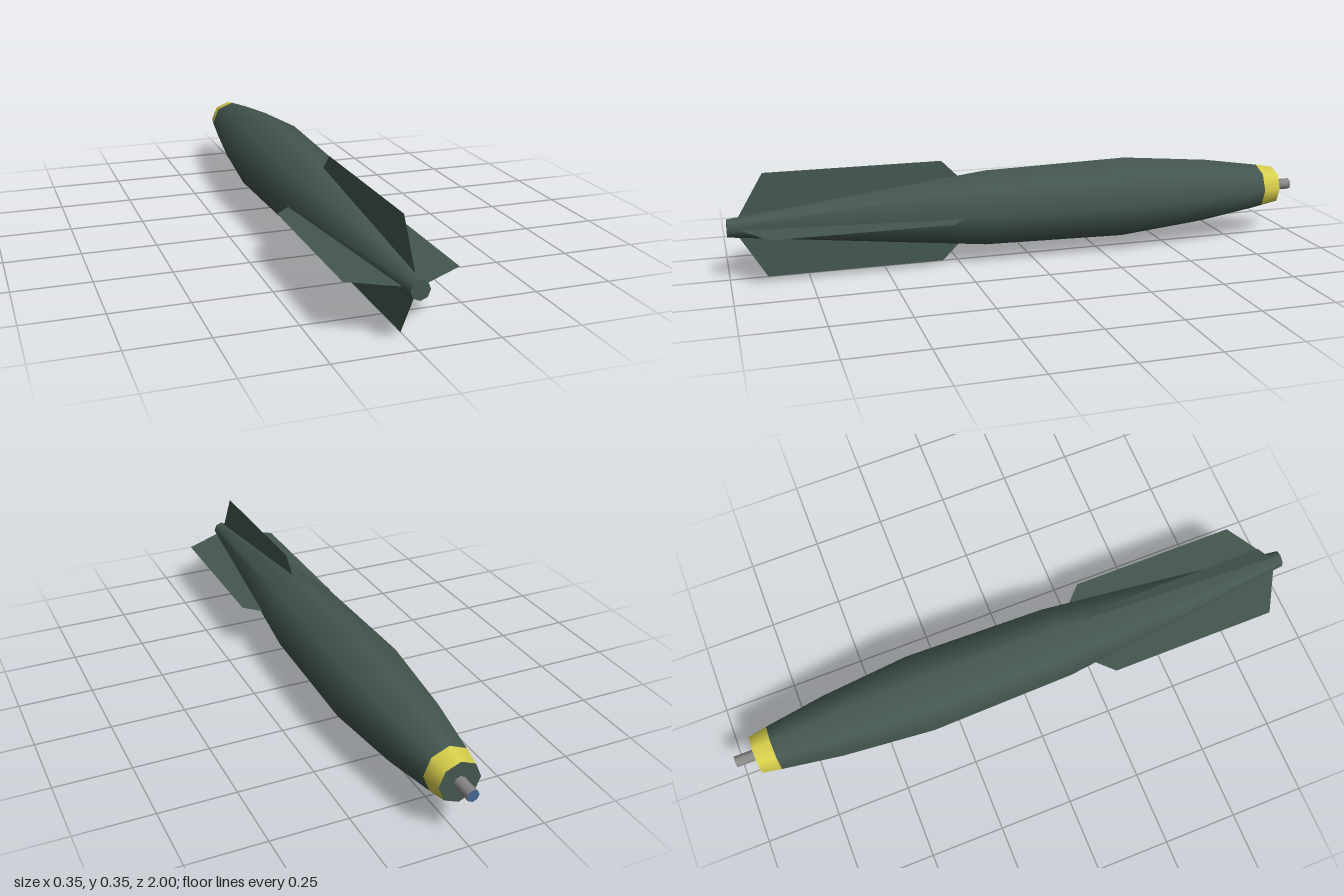
import * as THREE from 'three';

const AXIS_Y = 0.173;
const SIDES = 8;

export function createModel() {
  const model = new THREE.Group();
  const green = new THREE.MeshStandardMaterial({ color: 0x44574f });
  const finGreen = new THREE.MeshStandardMaterial({ color: 0x44574f, side: THREE.DoubleSide });
  const yellow = new THREE.MeshStandardMaterial({ color: 0xd8d04c });
  const grey = new THREE.MeshStandardMaterial({ color: 0x8c8a88 });
  const blue = new THREE.MeshStandardMaterial({ color: 0x44658f });

  const add = (name, geometry, material) => {
    const mesh = new THREE.Mesh(geometry, material);
    mesh.name = name;
    mesh.position.y = AXIS_Y;
    model.add(mesh);
  };

  // Eight-sided shell along z from [radius, z] pairs, listed nose to tail
  const shell = (name, profile, material) => {
    const points = profile.map(([r, z]) => new THREE.Vector2(r, z));
    add(name, new THREE.LatheGeometry(points, SIDES).rotateX(Math.PI / 2), material);
  };

  // Flat end disc with its corners matching the shells
  const cap = (name, radius, z, material) => {
    const geometry = new THREE.CircleGeometry(radius, SIDES);
    if (z < 0) geometry.rotateY(Math.PI);
    add(name, geometry.translate(0, 0, z), material);
  };

  // Body, tapering to the tail
  shell('body', [[0.08, -0.865], [0.112, -0.66], [0.141, -0.35], [0.13, 0.15], [0.03, 1]], green);
  cap('tailCap', 0.03, 1, green);

  // Coloured nose band and front plate
  shell('noseBand', [[0.068, -0.93], [0.08, -0.865]], yellow);
  cap('nosePlate', 0.068, -0.93, green);

  // Fuse pin
  shell('fusePin', [[0.02, -1], [0.02, -0.925]], grey);
  cap('fuseTip', 0.02, -1, blue);

  // Four thin upright and level fins, drawn as (z, radius) and turned about the axis
  const outline = [[0.22, 0.093], [0.3, 0.173], [0.88, 0.173], [0.965, 0.03], [0.9, 0.01], [0.22, 0.01]];
  const finShape = new THREE.Shape(outline.map(([z, r]) => new THREE.Vector2(z, r)));
  for (let i = 0; i < 4; i++) {
    const geometry = new THREE.ShapeGeometry(finShape)
      .rotateY(-Math.PI / 2)
      .rotateZ(i * Math.PI / 2);
    add('tailFin' + (i + 1), geometry, finGreen);
  }

  return model;
}
